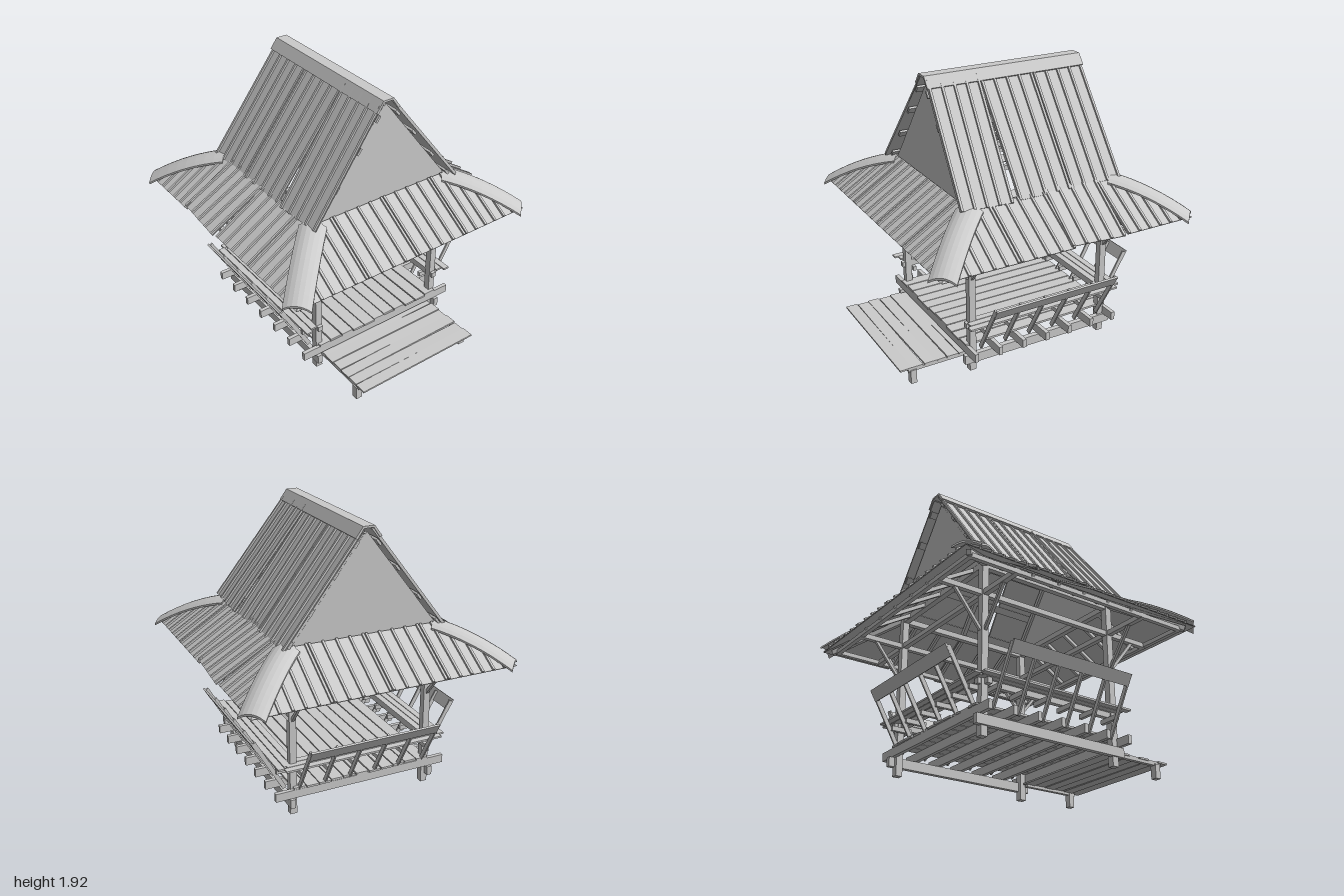
import * as THREE from 'three';

const mat = new THREE.MeshStandardMaterial({ color: 0xcccccc, flatShading: true, side: THREE.DoubleSide });
const HALF = Math.PI / 2;

function add(parent, name, geo) {
  const m = new THREE.Mesh(geo, mat);
  m.name = name;
  parent.add(m);
  return m;
}
function box(parent, name, w, h, d, x, y, z) {
  const m = add(parent, name, new THREE.BoxGeometry(w, h, d));
  m.position.set(x, y, z);
  return m;
}
// Rectangular bar between two points
function bar(parent, name, a, b, w, h) {
  const A = new THREE.Vector3(...a), B = new THREE.Vector3(...b);
  const m = add(parent, name, new THREE.BoxGeometry(w, h, A.distanceTo(B)));
  m.position.copy(A).add(B).multiplyScalar(0.5);
  m.quaternion.setFromRotationMatrix(new THREE.Matrix4().lookAt(B, A, new THREE.Vector3(0, 1, 0)));
  return m;
}
function group(parent, name, ry = 0) {
  const g = new THREE.Group();
  g.name = name;
  g.rotation.y = ry;
  parent.add(g);
  return g;
}
function extrude(points, depth) {
  const s = new THREE.Shape(points.map(p => new THREE.Vector2(...p)));
  return new THREE.ExtrudeGeometry(s, { depth, bevelEnabled: false });
}

// Slope frame: x along the eave, -y down the slope, z the outward normal
function slope(parent, top, bottom) {
  const g = group(parent, 'slope');
  g.position.set(0, top[1], top[0]);
  g.rotation.x = -Math.atan2(bottom[0] - top[0], top[1] - bottom[1]);
  g.userData.length = Math.hypot(bottom[0] - top[0], top[1] - bottom[1]);
  return g;
}

// Ribbed sheet from u0 to u1; startAt(u) tells where the sheet begins down the slope
function ribbedSheet(parent, u0, u1, len, startAt, corners, twist) {
  const g = group(parent, 'roofSheet');
  const mid = (u0 + u1) / 2;
  g.position.x = mid;
  g.rotation.z = twist;
  if (twist) g.position.z = 0.008;
  const pts = [u0, ...corners.filter(c => c > u0 && c < u1), u1].map(u => [u - mid, -startAt(u)]);
  add(g, 'sheet', extrude([[u0 - mid, -len], [u1 - mid, -len], ...pts.reverse()], 0.006));
  const n = Math.max(1, Math.round((u1 - u0) / 0.095));
  for (let i = 0; i <= n; i++) {
    const u = THREE.MathUtils.lerp(u0 + 0.012, u1 - 0.012, i / n);
    const v = startAt(u);
    if (len - v > 0.02) box(g, 'rib', 0.016, len - v, 0.02, u - mid, -(len + v) / 2, 0.01);
  }
}

// Outward-leaning bench, built facing +z
function bench(parent, ry) {
  const g = group(parent, 'bench', ry);
  box(g, 'seatBeam', 1.12, 0.038, 0.035, 0, 0.345, 0.5);
  for (let i = 0; i < 3; i++) box(g, 'seatPlank', 1.06 + 0.05 * i, 0.013, 0.045, 0, 0.371, 0.5 + 0.05 * i);
  for (let i = 0; i < 6; i++) {
    const x = -0.465 + i * 0.186;
    box(g, 'seatBracket', 0.024, 0.032, 0.15, x + 0.012, 0.31, 0.525);
    bar(g, 'backStave', [x, 0.17, 0.535], [x, 0.545, 0.745], 0.012, 0.03);
  }
  const rail = box(g, 'topRail', 0.94, 0.085, 0.014, 0, 0.515, 0.742);
  rail.rotation.x = 0.53;
}

export function createModel() {
  const model = new THREE.Group();
  model.name = 'gardenPavilion';
  const body = group(model, 'body');
  body.position.z = -0.02;

  // Posts with outward braces and cantilevered beams
  for (const sx of [-1, 1]) for (const sz of [-1, 1]) {
    const x = 0.5 * sx, z = 0.515 * sz;
    box(body, 'post', 0.048, 1.15, 0.048, x, 0.575, z);
    bar(body, 'brace', [x, 0.69, z + 0.02 * sz], [x, 0.94, z + 0.22 * sz], 0.02, 0.02);
    bar(body, 'brace', [x + 0.02 * sx, 0.69, z], [x + 0.22 * sx, 0.94, z], 0.02, 0.02);
    bar(body, 'hipRafter', [0.5 * sx, 1.17, 0.5 * sz], [0.88 * sx, 0.945, 0.88 * sz], 0.03, 0.035);
  }
  for (const s of [-1, 1]) {
    box(body, 'tieBeam', 1.73, 0.035, 0.035, 0, 0.948, 0.515 * s);
    box(body, 'tieBeam', 0.035, 0.035, 1.73, 0.5 * s, 0.948, 0);
    box(body, 'eaveBeam', 1.72, 0.03, 0.03, 0, 0.947, 0.85 * s);
    box(body, 'eaveBeam', 0.03, 0.03, 1.72, 0.85 * s, 0.947, 0);
    box(body, 'topPlate', 1.04, 0.04, 0.04, 0, 1.15, 0.515 * s);
    box(body, 'topPlate', 0.04, 0.04, 1.07, 0.5 * s, 1.15, 0);
    box(body, 'floorBeam', 0.035, 0.065, 1.16, 0.52 * s, 0.098, 0);
  }

  // Floor
  for (let i = 0; i < 7; i++) box(body, 'joist', 1.27, 0.06, 0.028, 0, 0.16, 0.545 - i * 0.182);
  for (let i = 0; i < 11; i++) {
    const p = box(body, 'floorPlank', 0.086, 0.014, 1.13 + 0.015 * Math.sin(i * 5), -0.465 + i * 0.093, 0.199, 0);
    p.rotation.y = 0.006 * Math.sin(i * 7);
  }

  // Benches on both sides and the back
  for (const ry of [HALF, -HALF, Math.PI]) bench(body, ry);

  // Low skirt roof on four sides
  const tIn = 0.545, tOut = 0.93;
  for (let k = 0; k < 4; k++) {
    const side = group(body, 'skirtRoof', k * HALF);
    const f = slope(side, [tIn, 1.195], [tOut, 0.955]);
    const len = f.userData.length;
    const startAt = u => Math.max(0, (Math.abs(u) - tIn) / (tOut - tIn) * len);
    const edges = [-0.93, -0.4, 0, 0.4, 0.93];
    for (let i = 0; i < 4; i++) {
      const loose = (k === 1 && i === 2) || (k === 3 && i === 1);
      ribbedSheet(f, edges[i], edges[i + 1], len, startAt, [-tIn, tIn], loose ? -0.06 : 0);
    }
    for (let i = 0; i < 5; i++) {
      const x = -0.4 + i * 0.2;
      bar(side, 'skirtRafter', [x, 1.155, 0.53], [x, 0.95, 0.87], 0.022, 0.025);
    }
    // Arched cap over the hip
    const hip = group(body, 'hipCap', Math.PI / 4 + k * HALF);
    const L = 0.55;
    const geo = new THREE.BoxGeometry(0.18, 0.014, L, 6, 1, 8);
    const p = geo.attributes.position;
    for (let i = 0; i < p.count; i++) {
      const a = p.getX(i) / 0.09, t = p.getZ(i) / L;
      p.setY(i, p.getY(i) - 0.032 * a * a - 0.225 * t + 0.03 * (1 - 4 * t * t));
    }
    geo.computeVertexNormals();
    add(hip, 'cap', geo).position.set(0, 1.096, 1.03);
  }

  // Steep main roof, front sheets slipped slightly askew
  for (const s of [-1, 1]) {
    const side = group(body, 'mainRoof', s * HALF);
    const f = slope(side, [0.025, 1.895], [0.57, 1.185]);
    const len = f.userData.length;
    const cuts = [-0.59, -0.195, 0.2, 0.595];
    for (let i = 0; i < 3; i++) {
      const a = s > 0 ? -cuts[3 - i] : cuts[i], b = s > 0 ? -cuts[2 - i] : cuts[i + 1];
      const loose = s > 0 ? i === 0 : i === 2;
      ribbedSheet(f, loose && s > 0 ? a + 0.02 : a, loose && s < 0 ? b - 0.02 : b, len, () => 0, [], loose ? -0.05 * s : 0);
    }
    // Purlins and rafters beneath the sheets
    for (const v of [0.1, 0.33, 0.6, 0.84]) box(f, 'purlin', 1.17, 0.05, 0.016, 0, -v, -0.012);
    for (const x of [-0.52, 0, 0.52]) box(f, 'rafter', 0.03, len - 0.04, 0.03, x, -len / 2, -0.035);
  }

  // Gable walls
  for (const s of [-1, 1]) {
    const g = add(body, 'gable', extrude([[-0.52, 1.17], [0.52, 1.17], [0, 1.86]], 0.012));
    g.position.z = 0.53 * s - 0.006;
  }

  // Ridge cap
  const cap = add(body, 'ridgeCap', extrude([[-0.092, 1.852], [-0.04, 1.922], [0.04, 1.922], [0.092, 1.852],
    [0.078, 1.842], [0.033, 1.908], [-0.033, 1.908], [-0.078, 1.842]], 1.18));
  cap.position.z = -0.595;

  // Front step
  const step = group(model, 'frontStep');
  for (const x of [-0.465, 0.445]) {
    box(step, 'stepLeg', 0.046, 0.1, 0.042, x, 0.05, 0.905);
    box(step, 'stepBearer', 0.03, 0.02, 0.44, x, 0.1, 0.72);
  }
  for (let i = 0; i < 6; i++) {
    const p = box(step, 'stepPlank', 0.95 - 0.01 * (i % 2), 0.012, 0.082, -0.01, 0.117 - 0.004 * (i % 2), 0.958 - i * 0.086);
    p.rotation.set(0.05 * Math.sin(i * 3 + 0.2), 0.008 * Math.sin(i * 4), 0);
  }
  return model;
}
